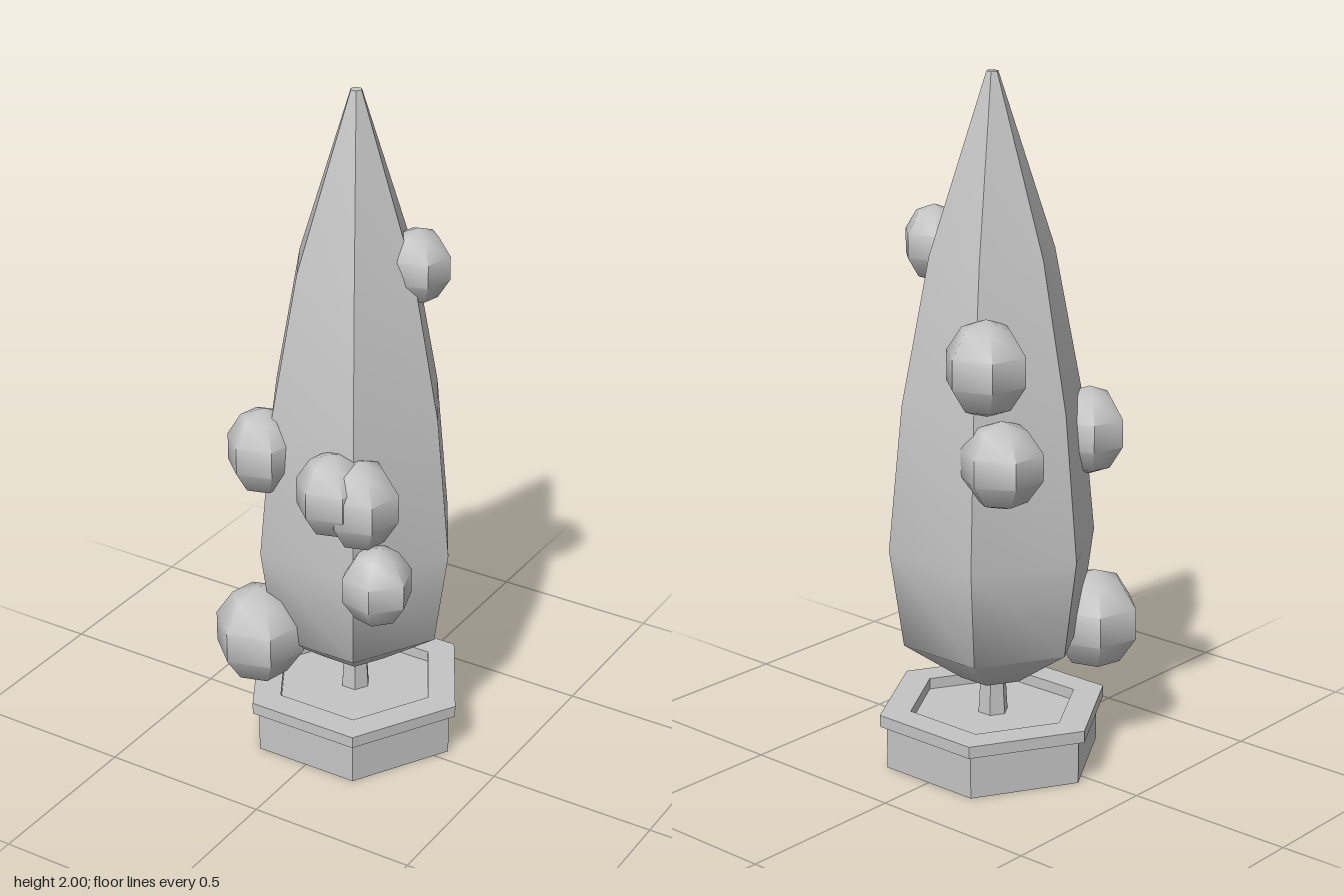
import * as THREE from 'three';
import { toCreasedNormals } from 'three/addons/utils/BufferGeometryUtils.js';

const SIDES = 6;

// Six-sided lathe with corners on the x axis and sharp upright edges
function hexLathe(profile, crease) {
  const points = profile.map(([r, y]) => new THREE.Vector2(r, y));
  return toCreasedNormals(new THREE.LatheGeometry(points, SIDES, Math.PI / 6), crease);
}

export function createModel() {
  const model = new THREE.Group();
  model.name = 'pottedTree';
  const grey = new THREE.MeshStandardMaterial({ color: 0xc4c4c4 });
  grey.name = 'plain grey';

  const tree = new THREE.Group();
  tree.name = 'treeAndPot';
  tree.position.z = -0.042;
  model.add(tree);

  const add = (parent, name, geometry) => {
    const mesh = new THREE.Mesh(geometry, grey);
    mesh.name = name;
    parent.add(mesh);
    return mesh;
  };

  // Hexagonal pot with an overhanging rim and a shallow recess
  add(tree, 'pot', hexLathe([
    [0, 0], [0.322, 0], [0.322, 0.13], [0.343, 0.13],
    [0.343, 0.165], [0.25, 0.165], [0.25, 0.13],
  ], 0.5));

  // Soil inside the rim
  add(tree, 'soil', hexLathe([[0.252, 0.132], [0, 0.136]], 0.5));

  // Short trunk
  add(tree, 'trunk', hexLathe([[0.045, 0.13], [0.036, 0.28]], 0.5));

  // Tall tapering foliage, blending smoothly around the base
  add(tree, 'foliage', hexLathe([
    [0, 0.25], [0.098, 0.25], [0.268, 0.37], [0.309, 0.66],
    [0.267, 1.08], [0.184, 1.5], [0.017, 2], [0, 2],
  ], 0.9));

  // Leaf clumps: x, y, z, radius, half height, turn in degrees
  const clumps = [
    [-0.17, 0.39, 0.212, 0.137, 0.15, 17],
    [-0.17, 0.97, 0.18, 0.108, 0.13, 17],
    [0.085, 0.92, 0.22, 0.109, 0.125, 17],
    [0.16, 0.895, 0.19, 0.112, 0.135, 17],
    [0.21, 0.65, 0.187, 0.107, 0.12, -12],
    [0.168, 1.51, -0.095, 0.094, 0.11, 17],
    [-0.132, 1.225, -0.22, 0.122, 0.137, 20],
    [-0.195, 0.965, -0.226, 0.121, 0.125, 30],
  ];
  const clumpGeometry = toCreasedNormals(new THREE.SphereGeometry(1, SIDES, 5), 0.9);
  clumps.forEach(([x, y, z, r, h, turn], i) => {
    const clump = add(model, `leafClump${i + 1}`, clumpGeometry);
    clump.position.set(x, y, z);
    clump.scale.set(r, h, r);
    clump.rotation.y = THREE.MathUtils.degToRad(turn);
  });

  return model;
}
